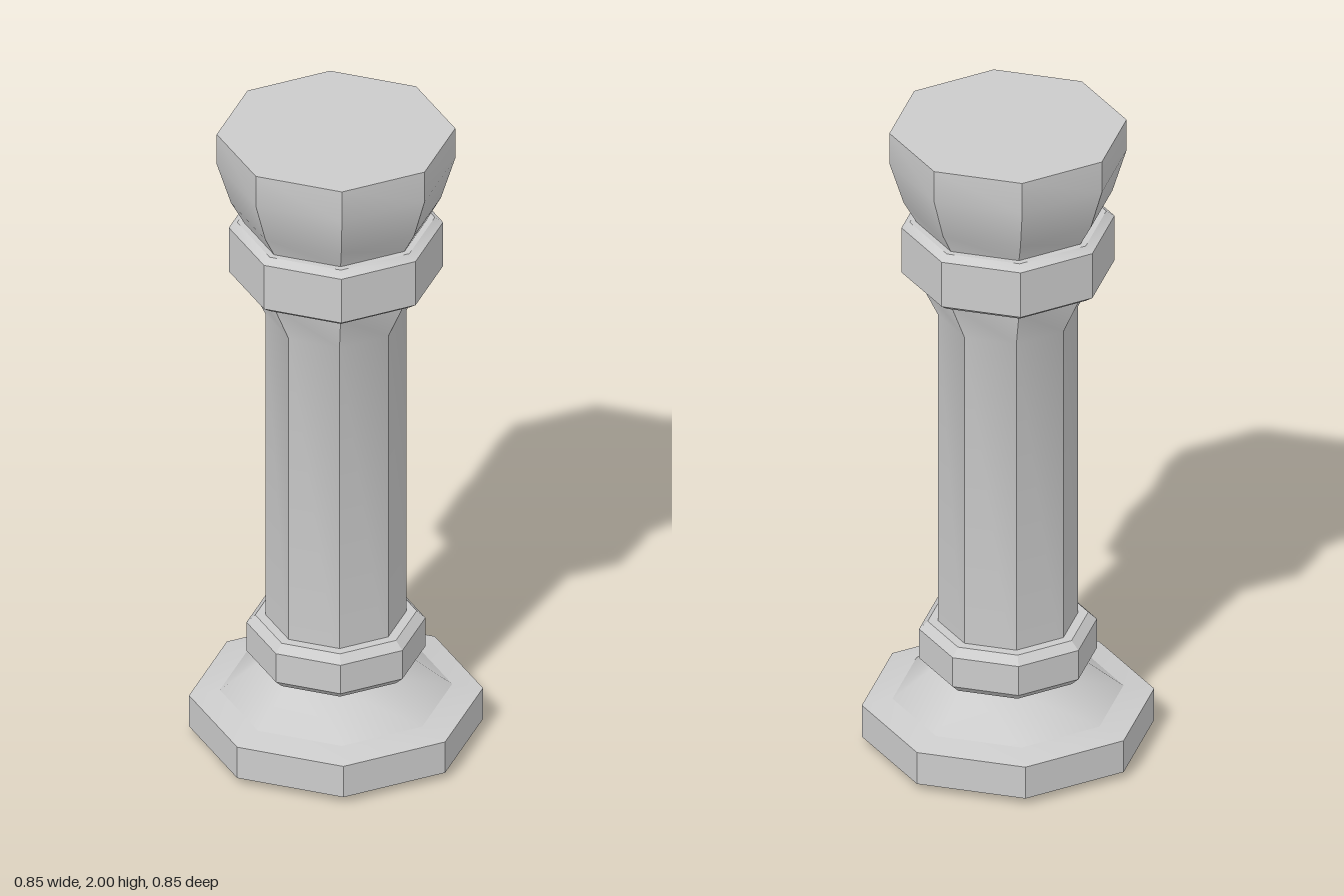
import * as THREE from 'three';
import { toCreasedNormals } from 'three/addons/utils/BufferGeometryUtils.js';

const SIDES = 8;
const CREASE = 0.52;

export function createModel() {
  const model = new THREE.Group();
  model.name = 'column';
  const material = new THREE.MeshStandardMaterial({ color: 0xcccccc });

  // Octagonal solid turned from a bottom-to-top profile of [radius, y], corners on the axes
  function addOctagon(name, profile) {
    const points = profile.map(([r, y]) => new THREE.Vector2(r, y));
    points.unshift(new THREE.Vector2(0, points[0].y));
    points.push(new THREE.Vector2(0, points[points.length - 1].y));
    const geometry = toCreasedNormals(new THREE.LatheGeometry(points, SIDES), CREASE);
    const mesh = new THREE.Mesh(geometry, material);
    mesh.name = name;
    model.add(mesh);
  }

  // Bevelled ring around the shaft
  function addRing(name, radius, bottom, top, bevelIn, bevelHeight) {
    addOctagon(name, [
      [radius - bevelIn, bottom], [radius, bottom + bevelHeight],
      [radius, top - bevelHeight], [radius - bevelIn, top],
    ]);
  }

  // Plinth with a chamfered underside and a sloping foot
  addOctagon('base', [
    [0.33, 0], [0.424, 0.023], [0.424, 0.126], [0.335, 0.142], [0.2, 0.25], [0.2, 0.27],
  ]);
  addRing('lowerRing', 0.258, 0.247, 0.39, 0.025, 0.024);

  // Shaft flaring out under the upper ring
  addOctagon('shaft', [[0.203, 0.26], [0.203, 1.395], [0.266, 1.526], [0.266, 1.55]]);
  addRing('upperRing', 0.309, 1.524, 1.704, 0.024, 0.017);

  // Bowl-shaped capital with a flat top
  addOctagon('capital', [[0.262, 1.69], [0.266, 1.704], [0.303, 1.77], [0.344, 1.9], [0.344, 2]]);

  return model;
}
